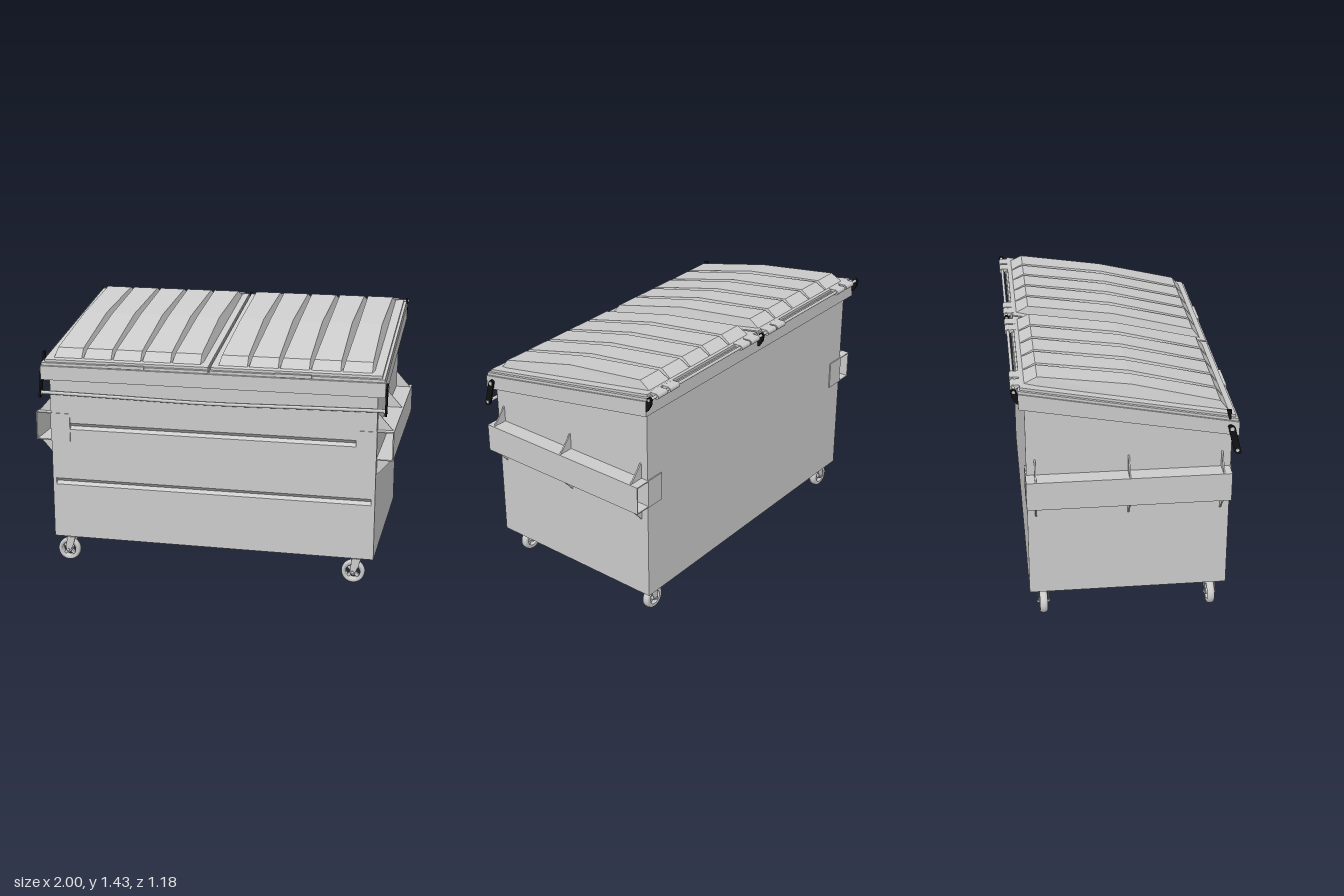
import * as THREE from 'three';

const grey = new THREE.MeshStandardMaterial({ color: 0xcccccc, flatShading: true, side: THREE.DoubleSide });
const smooth = new THREE.MeshStandardMaterial({ color: 0xcccccc });
const black = new THREE.MeshStandardMaterial({ color: 0x111111 });

export function createModel() {
  const root = new THREE.Group();

  const add = (name, geo, mat = grey, parent = root) => {
    const m = new THREE.Mesh(geo, mat);
    m.name = name;
    parent.add(m);
    return m;
  };
  const box = (name, x0, x1, y0, y1, z0, z1, mat, parent) => {
    const g = new THREE.BoxGeometry(Math.abs(x1 - x0), y1 - y0, z1 - z0);
    return add(name, g.translate((x0 + x1) / 2, (y0 + y1) / 2, (z0 + z1) / 2), mat, parent);
  };
  const shapeOf = (pts) => new THREE.Shape(pts.map((p) => new THREE.Vector2(...p)));
  // side profile of [z, y] points, swept across x
  const prism = (name, pts, xa, xb, mat, parent) => {
    const g = new THREE.ExtrudeGeometry(shapeOf(pts), { depth: Math.abs(xb - xa), bevelEnabled: false });
    return add(name, g.rotateY(-Math.PI / 2).translate(Math.max(xa, xb), 0, 0), mat, parent);
  };
  const rodX = (name, x0, x1, y, z, r, mat = smooth, parent = root) => {
    const g = new THREE.CylinderGeometry(r, r, Math.abs(x1 - x0), 16).rotateZ(Math.PI / 2);
    return add(name, g.translate((x0 + x1) / 2, y, z), mat, parent);
  };
  const slope = 0.1875;
  const lidY = (z) => 1.195 + (0.575 - z) * slope;

  // Bin body with two V grooves across the front, closed by corner strips
  const groove = (y) => [[0.55, y - 0.02], [0.525, y - 0.005], [0.55, y + 0.016]];
  const back = [[-0.52, 1.34], [-0.52, 0.165]];
  prism('body', [[0.55, 0.165], ...groove(0.495), ...groove(0.82), [0.55, 1.14], ...back], -0.89, 0.89);
  for (const s of [-1, 1])
    prism('bodyCorner', [[0.55, 0.165], [0.55, 1.14], ...back], s * 0.89, s * 0.91);

  // Sloping rim around the top
  prism('rim', [[0.58, 1.085], [0.58, 1.163], [-0.55, 1.376], [-0.55, 1.29]], -0.952, 0.952);

  // Raised rib, lofted from cross-sections [z, height, top half width]
  const ribGeometry = (cx) => {
    const stations = [[0.53, 0, 0.074], [0.49, 0.042, 0.073], [0.03, 0.068, 0.065], [-0.45, 0.046, 0.073], [-0.515, 0, 0.074]];
    const pos = [], idx = [];
    stations.forEach(([z, h, t], j) => {
      const y = lidY(z);
      pos.push(cx - 0.084, y, z, cx - t, y + h, z, cx + t, y + h, z, cx + 0.084, y, z);
      if (j < stations.length - 1)
        for (let i = 0; i < 3; i++) {
          const a = j * 4 + i;
          idx.push(a, a + 1, a + 5, a, a + 5, a + 4);
        }
    });
    const g = new THREE.BufferGeometry();
    g.setAttribute('position', new THREE.Float32BufferAttribute(pos, 3));
    g.setIndex(idx);
    g.computeVertexNormals();
    return g;
  };

  // Two lids with ribs, handle and hinge knuckles
  const slab = (z0, z1, lo, hi) => [[z0, lidY(z0) + lo], [z0, lidY(z0) + hi], [z1, lidY(z1) + hi], [z1, lidY(z1) + lo]];
  for (const s of [-1, 1]) {
    const lid = new THREE.Group();
    lid.name = s > 0 ? 'leftLid' : 'rightLid';
    root.add(lid);
    prism('lidFlange', slab(0.575, -0.55, -0.029, -0.014), s * 0.004, s * 0.947, grey, lid);
    prism('lidPan', slab(0.562, -0.54, -0.014, 0), s * 0.007, s * 0.932, grey, lid);
    for (let i = 0; i < 5; i++) add('lidRib', ribGeometry(s * (0.129 + i * 0.168)), grey, lid);
    box('lidHandle', s * 0.36, s * 0.56, 1.168, 1.186, 0.555, 0.581, grey, lid);
    for (const x of [0.04, 0.125, 0.73, 0.825]) {
      rodX('hingeKnuckle', s * x, s * (x + 0.075), 1.39, -0.572, 0.016, smooth, lid);
      box('hingeLeaf', s * x, s * (x + 0.075), 1.386, 1.404, -0.57, -0.53, grey, lid);
    }
  }

  // Hinge rod and its black brackets
  rodX('hingeRod', -0.955, 0.955, 1.392, -0.572, 0.008);
  for (const x of [-0.948, 0, 0.948]) {
    prism('hingeBracket', [[-0.548, 1.32], [-0.56, 1.325], [-0.582, 1.36], [-0.587, 1.395], [-0.575, 1.407],
      [-0.56, 1.4], [-0.55, 1.37]], x - 0.006, x + 0.006, black);
    rodX('hingeBolt', x - 0.011, x + 0.011, 1.392, -0.572, 0.008);
  }

  // Front lock bar with a pivoting arm at each end
  const bar = new THREE.CatmullRomCurve3([[-0.955, 1.012, 0.57], [-0.5, 1.006, 0.571], [0, 0.999, 0.572],
    [0.5, 1.006, 0.571], [0.955, 1.012, 0.57]].map((p) => new THREE.Vector3(...p)));
  add('lockBar', new THREE.TubeGeometry(bar, 32, 0.01, 10), smooth);
  for (const s of [-1, 1]) {
    const arm = new THREE.Shape();
    arm.absarc(0, 0.068, 0.018, 0, Math.PI, false);
    arm.absarc(0, -0.068, 0.018, Math.PI, Math.PI * 2, false);
    const g = new THREE.ExtrudeGeometry(arm, { depth: 0.01, bevelEnabled: false, curveSegments: 10 });
    g.translate(0, 0, -0.005).rotateZ(-0.245).rotateY(-Math.PI / 2).translate(s * 0.957, 1.068, 0.556);
    // lean the arm so that its lower end reaches forward to the bar
    const p = g.attributes.position;
    for (let i = 0; i < p.count; i++) p.setZ(i, p.getZ(i) - (p.getY(i) - 1.068) * 0.5);
    g.computeVertexNormals();
    add('lockArm', g, black);
    rodX('armPivot', s * 0.945, s * 0.966, 1.131, 0.54, 0.011);
    rodX('armBolt', s * 0.945, s * 0.966, 1.007, 0.572, 0.009);
  }
  prism('lidCatch', [[0.535, 1.18], [0.535, 1.235], [0.51, 1.235], [0.525, 1.18]], -0.952, -0.938, black);

  // Lifting sleeves: open-ended channels, wrap plates and gussets
  for (const s of [-1, 1]) {
    const sleeve = new THREE.Group();
    sleeve.name = s > 0 ? 'leftSleeve' : 'rightSleeve';
    root.add(sleeve);
    box('sleeveOuter', s * 0.994, s * 1.0, 0.73, 0.89, -0.525, 0.545, grey, sleeve);
    box('sleeveTop', s * 0.905, s * 0.998, 0.884, 0.89, -0.525, 0.545, grey, sleeve);
    box('sleeveBottom', s * 0.905, s * 0.998, 0.73, 0.736, -0.525, 0.545, grey, sleeve);
    box('sleeveFrontPlate', s * 0.8, s * 0.912, 0.73, 0.89, 0.53, 0.555, grey, sleeve);
    box('sleeveBackPlate', s * 0.8, s * 0.912, 0.73, 0.89, -0.526, -0.51, grey, sleeve);
    for (const z of [0.503, 0.013, -0.475])
      for (const [y0, y1] of [[0.89, 0.98], [0.73, 0.64]]) {
        const tri = shapeOf([[s * 0.905, y0], [s * 0.992, y0], [s * 0.912, y1], [s * 0.905, y1]]);
        const g = new THREE.ExtrudeGeometry(tri, { depth: 0.008, bevelEnabled: false });
        add('gusset', g.translate(0, 0, z - 0.004), grey, sleeve);
      }
  }

  // Swivel casters, all trailing the same way
  const tyreProfile = [[0.04, -0.019], [0.055, -0.021], [0.062, -0.016], [0.065, -0.006], [0.065, 0.006],
    [0.062, 0.016], [0.055, 0.021], [0.04, 0.019], [0.04, -0.019]].map((p) => new THREE.Vector2(...p));
  const addCaster = (x, z) => {
    const c = new THREE.Group();
    c.name = 'caster';
    c.position.set(x, 0, z);
    root.add(c);
    box('mountPlate', -0.042, 0.042, 0.157, 0.166, -0.042, 0.042, grey, c);
    add('swivel', new THREE.CylinderGeometry(0.032, 0.024, 0.017, 20).translate(0, 0.15, 0), smooth, c);
    box('forkCrown', -0.025, 0.022, 0.135, 0.144, -0.03, 0.03, grey, c);
    const cheek = shapeOf([[-0.025, 0.144], [0.022, 0.144], [0.012, 0.1], [-0.01, 0.056], [-0.03, 0.056], [-0.034, 0.08]]);
    for (const side of [-0.03, 0.026]) {
      const g = new THREE.ExtrudeGeometry(cheek, { depth: 0.004, bevelEnabled: false });
      add('forkCheek', g.translate(0, 0, side), grey, c);
    }
    const wheel = new THREE.Group();
    wheel.name = 'wheel';
    wheel.position.set(-0.02, 0.065, 0);
    c.add(wheel);
    add('tyre', new THREE.LatheGeometry(tyreProfile, 32).rotateX(Math.PI / 2),
      new THREE.MeshStandardMaterial({ color: 0xcccccc, side: THREE.DoubleSide }), wheel);
    add('hub', new THREE.CylinderGeometry(0.018, 0.018, 0.044, 18).rotateX(Math.PI / 2), smooth, wheel);
    add('axle', new THREE.CylinderGeometry(0.008, 0.008, 0.07, 12).rotateX(Math.PI / 2), smooth, wheel);
    for (let i = 0; i < 2; i++)
      add('spoke', new THREE.BoxGeometry(0.016, 0.084, 0.016).rotateZ((i * Math.PI) / 2 + 0.785), grey, wheel);
  };
  for (const x of [-0.83, 0.813]) for (const z of [0.475, -0.445]) addCaster(x, z);

  return root;
}
